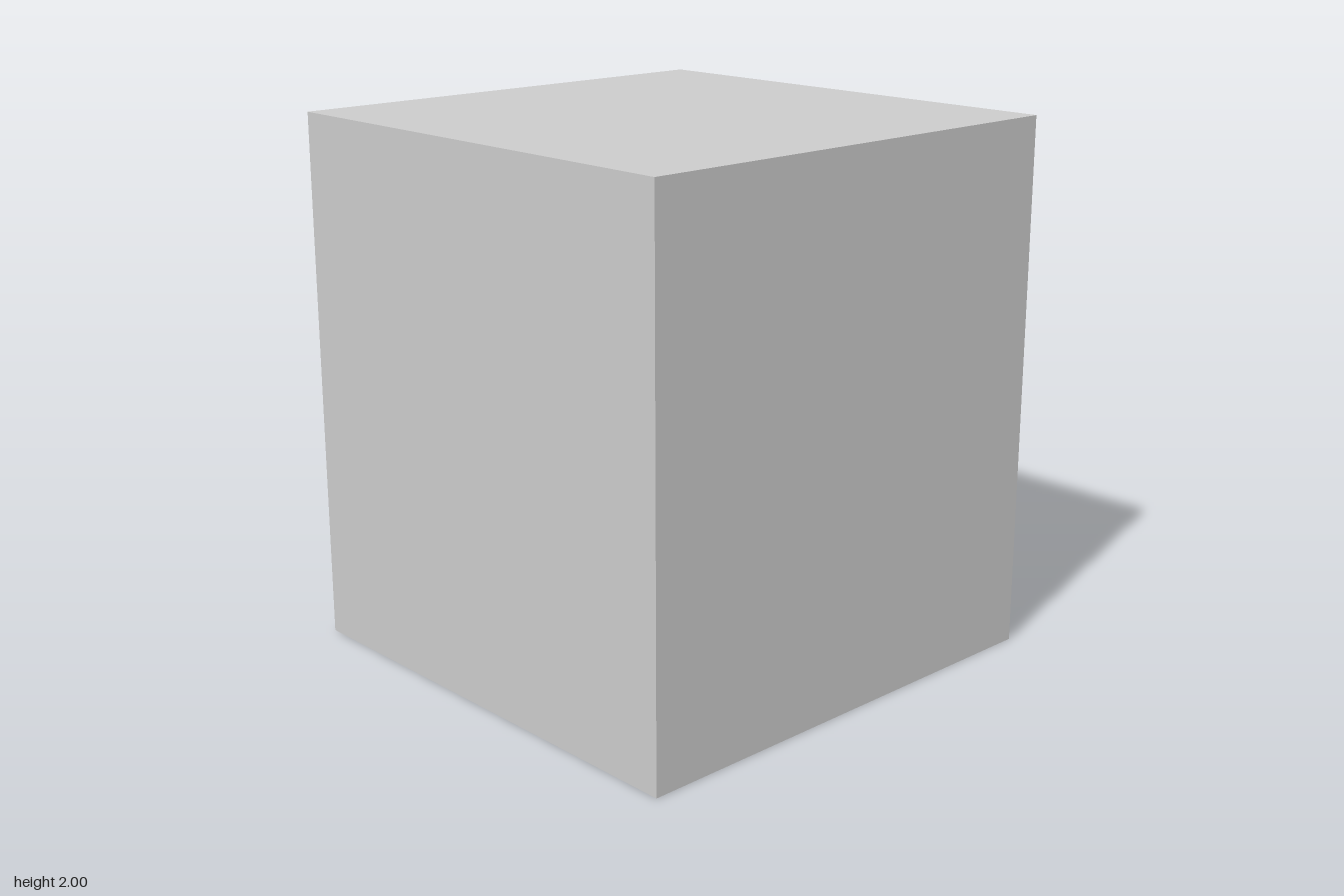
import * as THREE from 'three';

export function createModel() {
  const group = new THREE.Group();
  const grey = new THREE.MeshStandardMaterial({ color: 0xcccccc, flatShading: true });
  const red = new THREE.MeshStandardMaterial({ color: 0xa50f14 });

  function add(name, geometry, material, x, y, z) {
    const mesh = new THREE.Mesh(geometry, material);
    mesh.name = name;
    mesh.position.set(x, y, z);
    group.add(mesh);
    return mesh;
  }

  // Cabinet; the door and controls sit on its +x face
  const faceX = 0.885;
  add('cabinet', new THREE.BoxGeometry(1.828, 2, 1.83), grey, faceX - 0.914, 1, 0);

  // Round door rim, a faceted torus sunk more than half way into the cabinet
  const rim = new THREE.TorusGeometry(0.56, 0.145, 12, 29).rotateY(Math.PI / 2);
  add('doorRim', rim, grey, 0.798, 0.932, 0);

  // Rectangular button
  add('button', new THREE.BoxGeometry(0.08, 0.09, 0.166), red, faceX, 1.865, 0.5);

  // Round dial, slightly taller than wide
  const dial = new THREE.CylinderGeometry(0.071, 0.071, 0.06, 32).rotateZ(-Math.PI / 2);
  add('dial', dial, red, faceX - 0.003, 1.881, -0.55).scale.z = 0.92;

  return group;
}
